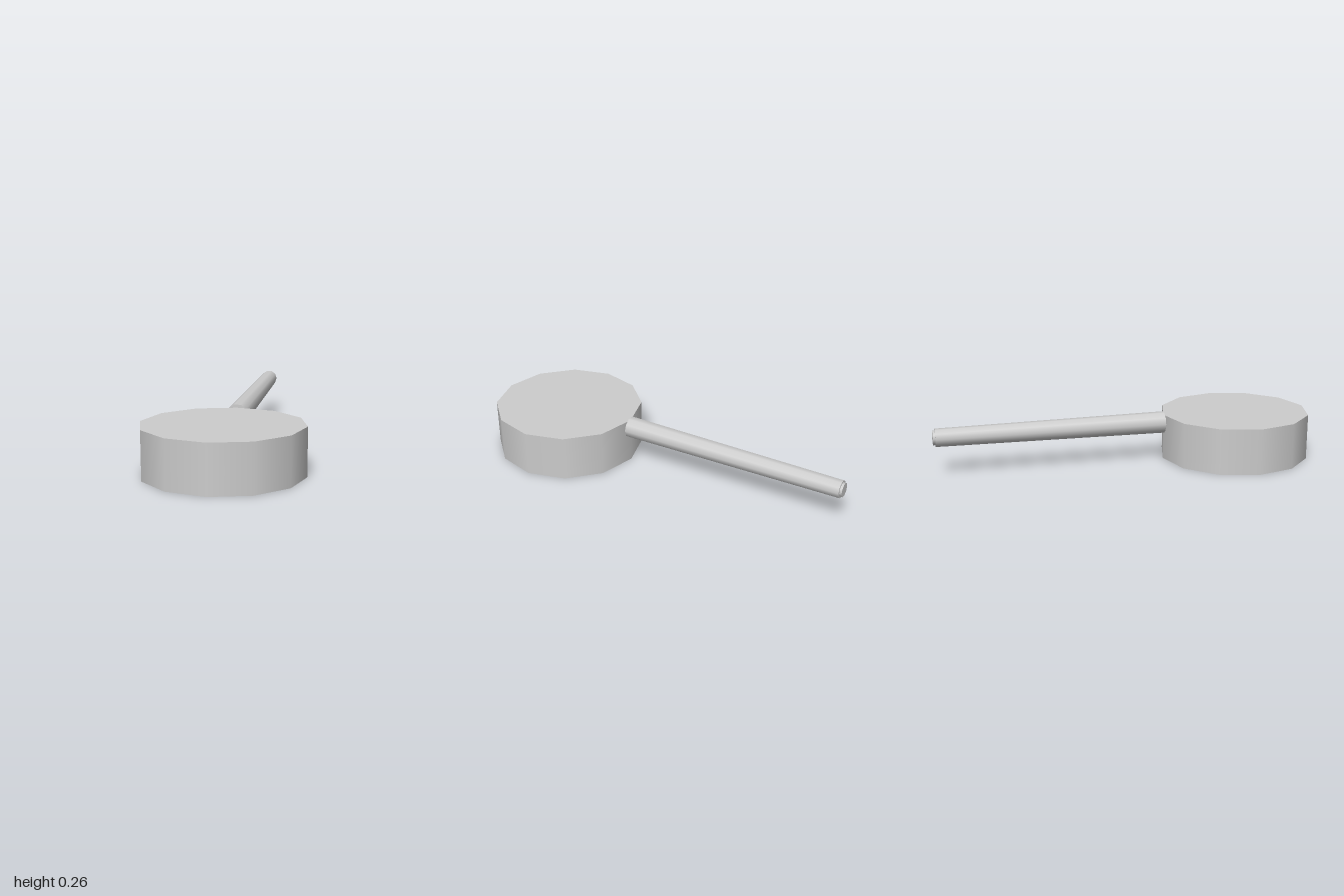
import * as THREE from 'three';

export function createModel() {
  const group = new THREE.Group();
  const grey = new THREE.MeshStandardMaterial({ color: 0xcccccc });
  grey.name = 'plain grey';

  const add = (name, geometry, y, z) => {
    const mesh = new THREE.Mesh(geometry, grey);
    mesh.name = name;
    mesh.position.set(0, y, z);
    group.add(mesh);
  };

  // Ten-sided rod running back from zFront to zBack, with a flat facet on top
  const rod = (name, rFront, rBack, zFront, zBack) => {
    const g = new THREE.CylinderGeometry(rBack, rFront, zFront - zBack, 10, 1, false, Math.PI / 10);
    g.rotateX(-Math.PI / 2);
    add(name, g, 0.201, (zFront + zBack) / 2);
  };

  // Twelve-sided pan body
  add('panBody', new THREE.CylinderGeometry(0.397, 0.397, 0.24, 12), 0.12, 0.603);

  // Tapered handle with a narrower stepped tip
  rod('handle', 0.057, 0.0465, 0.206, -0.988);
  rod('handleTip', 0.037, 0.037, -0.98, -1);

  return group;
}
